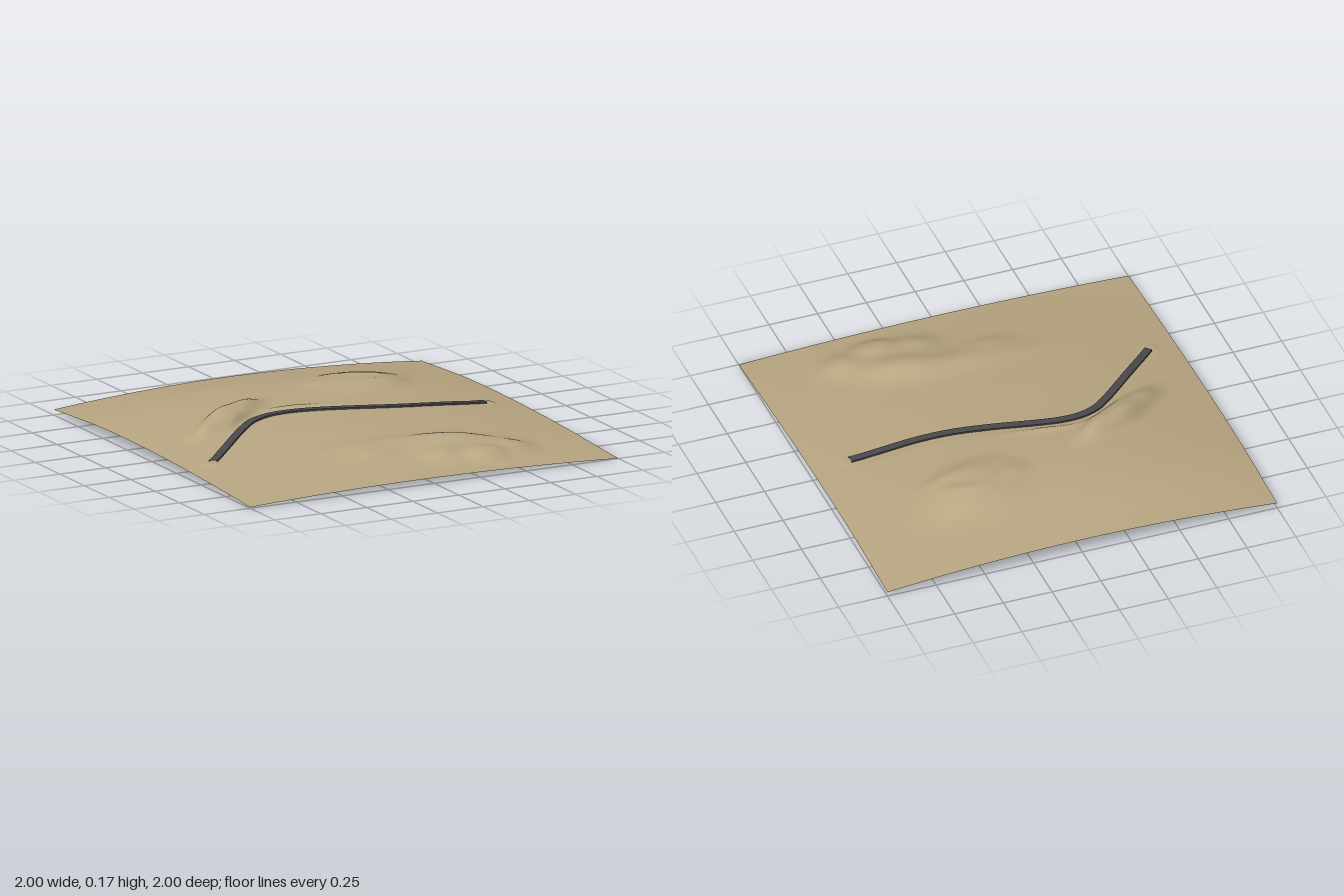
import * as THREE from 'three';

// Smooth interpolation of five values spread evenly over -1..1
function profile(values, t) {
  const p = (t + 1) * 2, i = Math.min(3, Math.max(0, Math.floor(p))), f = p - i;
  const at = (k) => k < 0 ? 2 * values[0] - values[1] : k > 4 ? 2 * values[4] - values[3] : values[k];
  const [a, b, c, d] = [at(i - 1), at(i), at(i + 1), at(i + 2)];
  return b + 0.5 * f * (c - a + f * (2 * a - 5 * b + 4 * c - d + f * (3 * (b - c) + d - a)));
}
const SIDE = [0.022, 0.046, 0.046, 0.031, 0.005];
const CENTRE = [0.07, 0.132, 0.117, 0.089, 0.03];

// Hills: x, z, radius along, radius across, turn, height, edge sharpness (2 = soft, higher = plateau)
const HILLS = [
  // ridge beside the bend
  [-0.50, -0.17, 0.28, 0.08, 0.56, 0.036, 4],
  [-0.53, -0.18, 0.10, 0.06, 0.56, 0.024, 2],
  [-0.37, -0.24, 0.11, 0.05, 0.56, 0.018, 2],
  [-0.68, -0.06, 0.09, 0.05, 0.70, 0.012, 2],
  [-0.15, -0.165, 0.14, 0.025, -0.12, 0.012, 2],
  // terraced hill at the back
  [0.36, -0.46, 0.27, 0.18, 0.15, 0.017, 6],
  [0.42, -0.60, 0.27, 0.11, -0.15, 0.008, 4],
  [0.40, -0.43, 0.17, 0.12, 0.1, 0.009, 5],
  [0.28, -0.50, 0.12, 0.04, 0.5, 0.008, 2],
  [0.45, -0.38, 0.12, 0.035, 0.1, 0.007, 2],
  [0.44, -0.49, 0.09, 0.03, -0.2, 0.007, 2],
  [0.12, -0.45, 0.07, 0.05, 0.3, 0.006, 2],
  // lobed hill at the front
  [0.05, 0.55, 0.36, 0.09, -0.05, 0.025, 2],
  [0.32, 0.59, 0.18, 0.09, -0.2, 0.022, 2],
  [0.38, 0.73, 0.28, 0.15, 0, 0.022, 4],
  [0.17, 0.77, 0.09, 0.08, 0, 0.016, 2],
  [0.38, 0.82, 0.10, 0.08, 0, 0.022, 3],
  [0.57, 0.75, 0.09, 0.08, 0, 0.018, 2],
  [-0.14, 0.64, 0.12, 0.06, 0, 0.014, 2],
  // broad gentle swells
  [-0.35, -0.72, 0.40, 0.16, 0.2, 0.006, 2],
  [-0.12, 0.27, 0.25, 0.15, 0, 0.006, 2],
];

function openGround(x, z) {
  const side = profile(SIDE, z);
  let y = side + (profile(CENTRE, z) - side) * (1 - x * x) + 0.0025 * (1 - x) - 0.005 * (1 + z) / 2;
  for (const [hx, hz, a, b, turn, height, sharp] of HILLS) {
    const c = Math.cos(turn), s = Math.sin(turn), dx = x - hx, dz = z - hz;
    const r = Math.hypot((dx * c - dz * s) / a, (dx * s + dz * c) / b);
    if (r < 3) y += height * Math.exp(-Math.pow(r, sharp));
  }
  return y;
}

// Road centre line seen from above
const roadCurve = new THREE.CatmullRomCurve3([
  [-0.85, 0.34], [-0.68, 0.17], [-0.51, 0.0], [-0.42, -0.075], [-0.33, -0.112], [-0.23, -0.12],
  [-0.1, -0.102], [0.1, -0.055], [0.3, -0.014], [0.46, 0], [0.63, 0], [0.81, 0],
].map(([x, z]) => new THREE.Vector3(x, 0, z)), false, 'centripetal');
const roadPoints = roadCurve.getSpacedPoints(160);
const rawHeights = roadPoints.map((p) => openGround(p.x, p.z));
roadPoints.forEach((p, i) => {
  let sum = 0, n = 0;
  for (let k = Math.max(0, i - 6); k <= Math.min(160, i + 6); k++, n++) sum += rawHeights[k];
  p.y = sum / n;
});

// Ground levelled underneath the road
function ground(x, z) {
  let best = 1, near = roadPoints[0];
  for (const p of roadPoints) {
    const d = Math.hypot(p.x - x, p.z - z);
    if (d < best) { best = d; near = p; }
  }
  const y = openGround(x, z);
  const blend = 1 - THREE.MathUtils.smoothstep(best, 0.03, 0.065);
  return y + (near.y - 0.002 - y) * blend;
}

function terrainGeometry() {
  const geo = new THREE.PlaneGeometry(2, 2, 180, 180).rotateX(-Math.PI / 2);
  const pos = geo.attributes.position;
  for (let i = 0; i < pos.count; i++) pos.setY(i, Math.max(0, ground(pos.getX(i), pos.getZ(i))));
  geo.computeVertexNormals();
  return geo;
}

// Thin rectangular section swept along the road, with separate vertices per side
function roadGeometry(half = 0.02, top = 0.006, bottom = -0.004) {
  const corners = [[-half, top], [half, top], [half, bottom], [-half, bottom]];
  const positions = [], index = [];
  for (let s = 0; s < 4; s++) {
    const start = positions.length / 3;
    roadPoints.forEach((p, i) => {
      const t = roadCurve.getTangentAt(i / 160);
      for (const [w, h] of [corners[s], corners[(s + 1) % 4]]) {
        positions.push(p.x - t.z * w, p.y + h, p.z + t.x * w);
      }
      if (i < 160) {
        const a = start + i * 2;
        index.push(a, a + 1, a + 2, a + 1, a + 3, a + 2);
      }
    });
  }
  const geo = new THREE.BufferGeometry();
  geo.setAttribute('position', new THREE.Float32BufferAttribute(positions, 3));
  geo.setIndex(index);
  geo.computeVertexNormals();
  return geo;
}

export function createModel() {
  const group = new THREE.Group();
  group.name = 'landscape';
  const sand = new THREE.MeshStandardMaterial({ color: 0xb8a681, side: THREE.DoubleSide });
  sand.name = 'sand';
  const asphalt = new THREE.MeshStandardMaterial({ color: 0x4a4a4e, side: THREE.DoubleSide });
  asphalt.name = 'asphalt';

  const terrain = new THREE.Mesh(terrainGeometry(), sand);
  terrain.name = 'terrain';
  const road = new THREE.Mesh(roadGeometry(), asphalt);
  road.name = 'road';
  group.add(terrain, road);
  return group;
}
